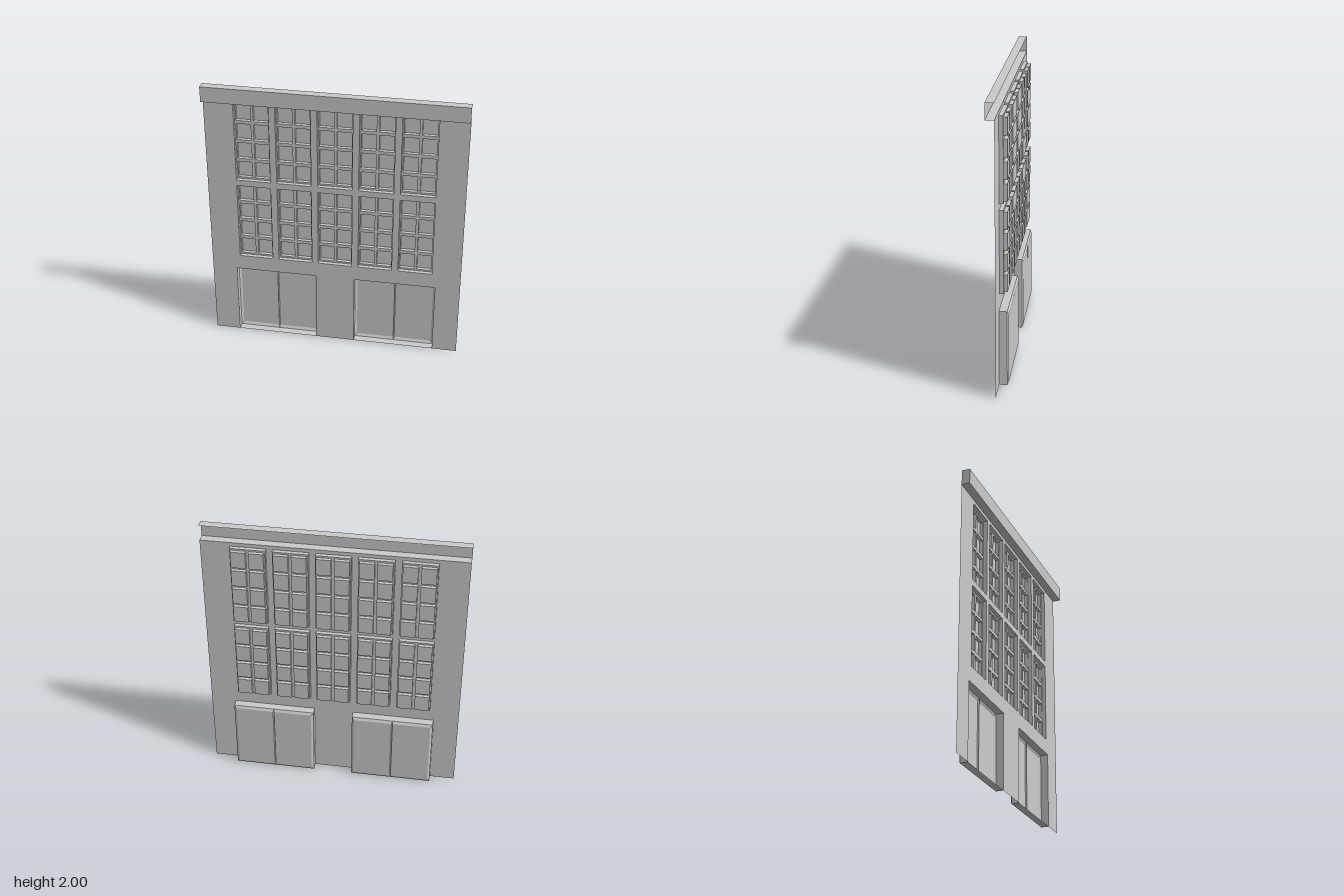
import * as THREE from 'three';
import { mergeGeometries } from 'three/addons/utils/BufferGeometryUtils.js';

const HALF_W = 0.894, WALL_TOP = 1.89, TOP = 2;
const WALL_Z = 0.003, FRAME_Z = -0.025, PANE_Z = -0.05, DOOR_Z = -0.051, BACK_Z = -0.061, CORNICE_Z = 0.061;

const material = new THREE.MeshStandardMaterial({ color: 0xcccccc, flatShading: true, side: THREE.DoubleSide });

// Rectangle as [x0, x1, y0, y1]
const grow = ([x0, x1, y0, y1], d) => [x0 - d, x1 + d, y0 - d, y1 + d];
const centred = (x, y, w, h) => [x - w / 2, x + w / 2, y - h / 2, y + h / 2];
const corners = ([x0, x1, y0, y1]) => [[x0, y0], [x1, y0], [x1, y1], [x0, y1]];

// Open-fronted recess stepping back through rectangular rings [rect, z]
function recess(rings, capped = true) {
  const pos = [];
  const quad = (a, b, c, d) => pos.push(...a, ...b, ...c, ...a, ...c, ...d);
  const loops = rings.map(([rect, z]) => corners(rect).map(([x, y]) => [x, y, z]));
  for (let r = 0; r + 1 < loops.length; r++) {
    const a = loops[r], b = loops[r + 1];
    for (let i = 0; i < 4; i++) {
      const j = (i + 1) % 4;
      quad(a[i], a[j], b[j], b[i]);
    }
  }
  if (capped) quad(...loops[loops.length - 1]);
  const g = new THREE.BufferGeometry();
  g.setAttribute('position', new THREE.Float32BufferAttribute(pos, 3));
  g.computeVertexNormals();
  return g;
}

// Flat sheet with rectangular holes
function sheet(points, holes, z) {
  const shape = new THREE.Shape(points.map(p => new THREE.Vector2(...p)));
  for (const h of holes) {
    shape.holes.push(new THREE.Path(corners(h).reverse().map(p => new THREE.Vector2(...p))));
  }
  return new THREE.ShapeGeometry(shape).translate(0, 0, z);
}

function addMesh(parent, name, geometry) {
  const mesh = new THREE.Mesh(geometry, material);
  mesh.name = name;
  parent.add(mesh);
}

export function createModel() {
  const model = new THREE.Group();
  model.name = 'facade';

  // Layout of the openings
  const windows = [];
  for (const y of [0.945, 1.572]) {
    for (let i = -2; i <= 2; i++) windows.push([i * 0.285, y]);
  }
  const windowRect = ([x, y]) => centred(x, y, 0.24, 0.582);
  const doors = [[-0.718, -0.139, 0, 0.542], [0.139, 0.718, 0, 0.542]];

  // Wall, notched at the bottom for the doors
  const outline = [[-HALF_W, 0]];
  for (const [x0, x1, y0, y1] of doors) outline.push([x0, y0], [x0, y1], [x1, y1], [x1, y0]);
  outline.push([HALF_W, 0], [HALF_W, WALL_TOP], [-HALF_W, WALL_TOP]);
  addMesh(model, 'wall', sheet(outline, windows.map(windowRect), WALL_Z));

  // Windows: recessed frame with two by four deeper panes
  for (const w of windows) {
    const group = new THREE.Group();
    group.name = 'window';
    model.add(group);
    const rect = windowRect(w);
    const panes = [];
    for (let row = 0; row < 4; row++) {
      for (const side of [-1, 1]) {
        panes.push(centred(w[0] + side * 0.0605, w[1] + (row - 1.5) * 0.1452, 0.101, 0.121));
      }
    }
    addMesh(group, 'windowReveal', recess([[rect, WALL_Z], [rect, FRAME_Z]], false));
    addMesh(group, 'windowFrame', sheet(corners(rect), panes, FRAME_Z));
    addMesh(group, 'windowPanes', mergeGeometries(panes.map(p => recess([[p, FRAME_Z], [p, PANE_Z]]))));
  }

  // Doors: deep reveal closed by two bevelled leaves
  for (const d of doors) {
    const group = new THREE.Group();
    group.name = 'door';
    model.add(group);
    addMesh(group, 'doorReveal', recess([[d, WALL_Z], [d, DOOR_Z]], false));
    const [x0, x1, y0, y1] = d, mid = (x0 + x1) / 2;
    for (const [a, b, da, db] of [[x0, mid, 0.016, 0.004], [mid, x1, 0.004, 0.016]]) {
      const inner = [a + da, b - db, y0 + 0.02, y1 - 0.02];
      addMesh(group, 'doorLeaf', recess([[[a, b, y0, y1], DOOR_Z], [inner, BACK_Z]]));
    }
  }

  // Cornice: channel open to the back, closed at one end only
  const depth = CORNICE_Z - WALL_Z, height = TOP - WALL_TOP;
  const midZ = (CORNICE_Z + WALL_Z) / 2, midY = (TOP + WALL_TOP) / 2;
  const cornice = mergeGeometries([
    new THREE.PlaneGeometry(2 * HALF_W, height).translate(0, midY, CORNICE_Z),
    new THREE.PlaneGeometry(2 * HALF_W, depth).rotateX(-Math.PI / 2).translate(0, TOP, midZ),
    new THREE.PlaneGeometry(2 * HALF_W, depth).rotateX(Math.PI / 2).translate(0, WALL_TOP, midZ),
    new THREE.PlaneGeometry(depth, height).rotateY(-Math.PI / 2).translate(-HALF_W, midY, midZ),
  ]);
  addMesh(model, 'cornice', cornice);

  return model;
}
